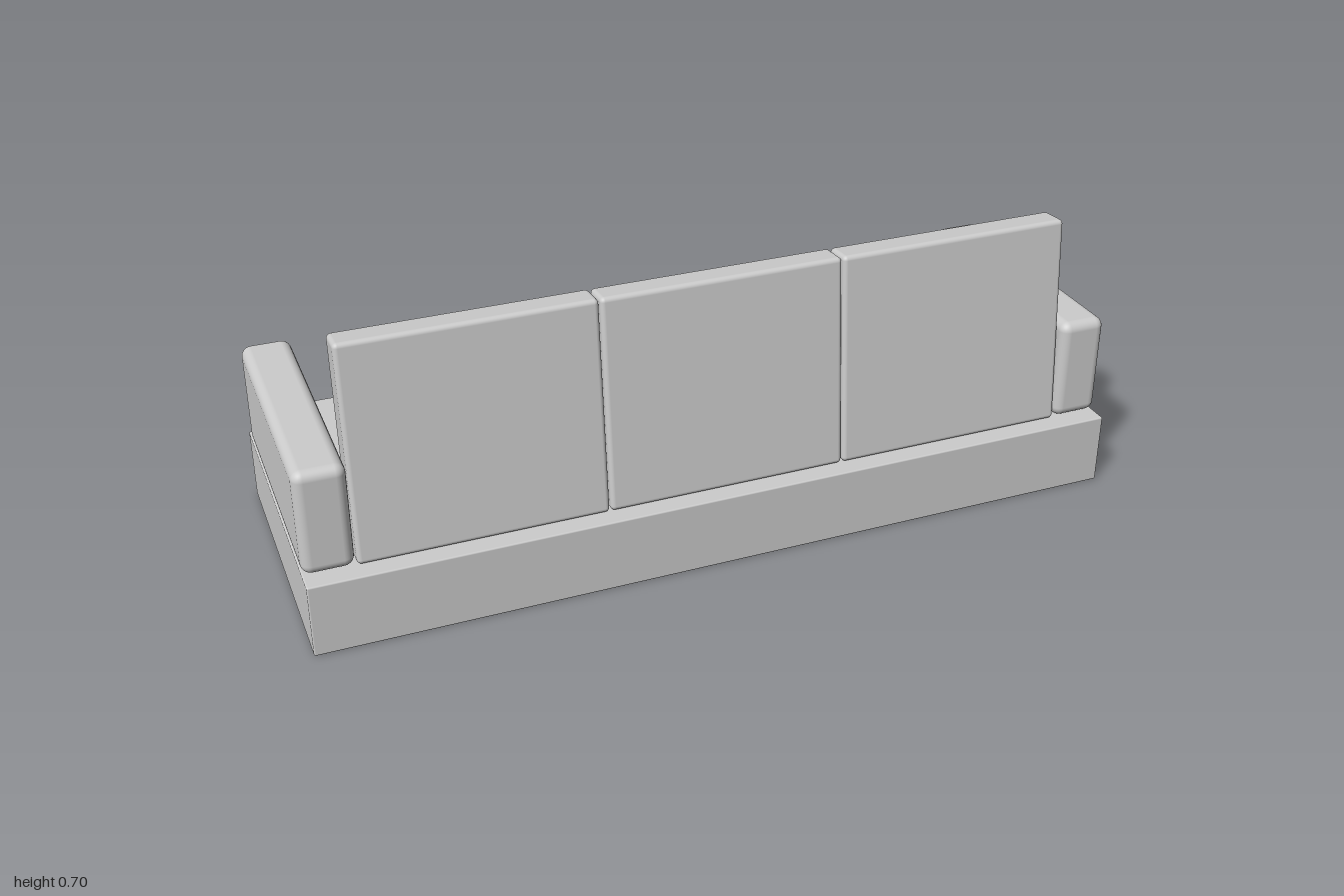
import * as THREE from 'three';
import { RoundedBoxGeometry } from 'three/addons/geometries/RoundedBoxGeometry.js';

const material = new THREE.MeshStandardMaterial({ color: 0xcccccc });

// Soft-edged block centred at (x, y, z)
function block(name, [w, h, d], radius, [x, y, z]) {
  const mesh = new THREE.Mesh(new RoundedBoxGeometry(w, h, d, 4, radius), material);
  mesh.name = name;
  mesh.position.set(x, y, z);
  return mesh;
}

export function createModel() {
  const sofa = new THREE.Group();
  sofa.name = 'sofa';

  // Plinth
  sofa.add(block('base', [2, 0.18, 0.72], 0.004, [0, 0.09, 0]));

  // Armrests
  for (const [name, side] of [['leftArmrest', 1], ['rightArmrest', -1]]) {
    sofa.add(block(name, [0.118, 0.258, 0.646], 0.024, [side * 0.941, 0.311, 0]));
  }

  // Three seat cushions, each with a leaning back cushion; the seat opens to -z
  const pitch = 0.587, width = 0.584;
  for (let i = -1; i <= 1; i++) {
    const x = i * pitch;
    sofa.add(block('seatCushion', [width, 0.08, 0.565], 0.02, [x, 0.221, -0.04]));

    const back = block('backCushion', [width, 0.522, 0.077], 0.011, [x, 0.44, 0.26]);
    back.rotation.x = -THREE.MathUtils.degToRad(5);
    sofa.add(back);
  }

  return sofa;
}
